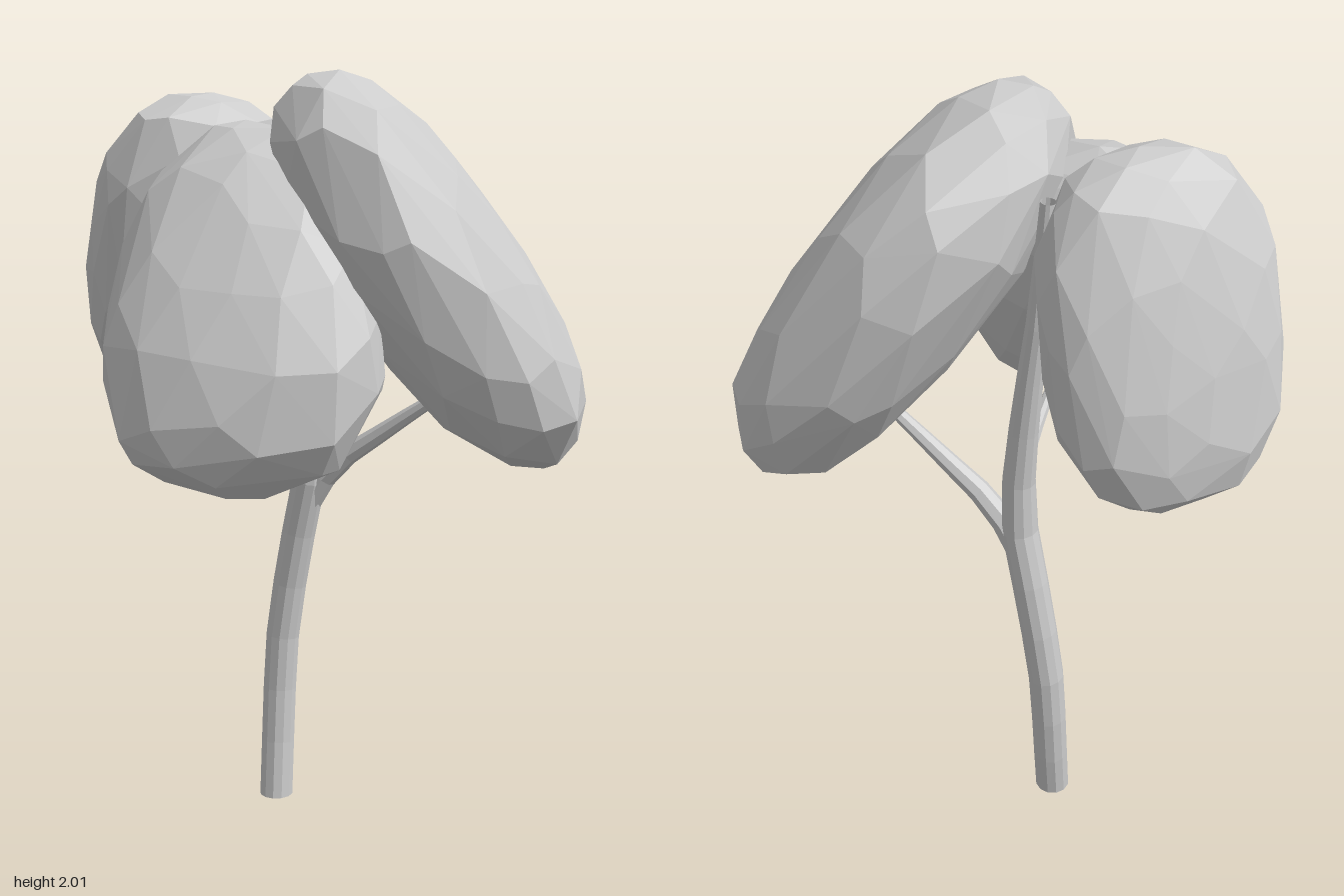
import * as THREE from 'three';
import { ConvexGeometry } from 'three/addons/geometries/ConvexGeometry.js';

const material = new THREE.MeshStandardMaterial({ color: 0xcccccc, flatShading: true, side: THREE.DoubleSide });

function seeded(seed) {
  return () => {
    seed = (seed * 16807) % 2147483647;
    return seed / 2147483647 - 0.5;
  };
}

// Faceted, flattened leaf mass: a jittered superellipsoid lying along a drooping axis
function foliage({ name, center, axis, side, half, power, taper, seed }) {
  const rand = seeded(seed);
  const y = new THREE.Vector3(...axis).normalize();
  const x = new THREE.Vector3(...side);
  x.addScaledVector(y, -x.dot(y)).normalize();
  const z = new THREE.Vector3().crossVectors(x, y);
  const frame = new THREE.Matrix4().makeBasis(x, y, z);
  const points = [];
  const count = 88;
  for (let i = 0; i < count; i++) {
    const h = 1 - (2 * (i + 0.5)) / count;
    const a = i * 2.39996 + rand() * 0.3;
    const r = Math.sqrt(1 - h * h);
    const p = new THREE.Vector3(r * Math.cos(a), r * Math.sin(a), h);
    const norm = Math.abs(p.x) ** power + Math.abs(p.y) ** power + Math.abs(p.z) ** power;
    p.multiplyScalar(1.015 / Math.pow(norm, 1 / power));
    p.x *= (1 + taper * p.y) * half[0];
    p.y *= half[1];
    p.z *= half[2];
    points.push(p.applyMatrix4(frame));
  }
  const mesh = new THREE.Mesh(new ConvexGeometry(points), material);
  mesh.name = name;
  mesh.position.set(...center);
  return mesh;
}

// Tapered limb swept along a curve
function limb(name, path, r0, r1, segments, sides, taperStart = 0) {
  const curve = new THREE.CatmullRomCurve3(path.map((p) => new THREE.Vector3(...p)));
  const geometry = new THREE.TubeGeometry(curve, segments, 1, sides);
  const pos = geometry.attributes.position;
  const uv = geometry.attributes.uv;
  const v = new THREE.Vector3();
  for (let i = 0; i < pos.count; i++) {
    const t = uv.getX(i);
    const c = curve.getPointAt(t);
    const s = Math.max(0, (t - taperStart) / (1 - taperStart));
    v.fromBufferAttribute(pos, i).sub(c).multiplyScalar(r0 + (r1 - r0) * s).add(c);
    if (t === 0 && path[0][1] === 0) v.y = 0;
    pos.setXYZ(i, v.x, v.y, v.z);
  }
  geometry.computeVertexNormals();
  const mesh = new THREE.Mesh(geometry, material);
  mesh.name = name;
  return mesh;
}

export function createModel() {
  const tree = new THREE.Group();
  tree.name = 'tree';

  // Trunk bends gently, then thins out between the leaf masses
  tree.add(limb('trunk', [
    [-0.175, 0, -0.195], [-0.172, 0.22, -0.222], [-0.162, 0.46, -0.234], [-0.122, 0.72, -0.225],
    [-0.075, 0.96, -0.2], [-0.09, 1.25, -0.205], [-0.125, 1.55, -0.22], [-0.145, 1.85, -0.22],
  ], 0.047, 0.018, 12, 12, 0.5));

  const base = new THREE.Mesh(new THREE.CircleGeometry(0.047, 12), material);
  base.name = 'trunkBase';
  base.rotation.x = Math.PI / 2;
  base.position.set(-0.175, 0, -0.195);
  tree.add(base);

  // Side branches reaching into each leaf mass
  tree.add(limb('rightBranch', [[-0.09, 0.85, -0.21], [-0.01, 0.965, -0.19], [0.13, 1.07, -0.16], [0.36, 1.23, -0.11]],
    0.038, 0.012, 6, 8));
  tree.add(limb('frontBranch', [[-0.08, 0.97, -0.2], [-0.07, 1.06, -0.15], [-0.1, 1.24, 0.05]],
    0.024, 0.012, 5, 8));
  tree.add(limb('backBranch', [[-0.11, 1.42, -0.21], [-0.17, 1.54, -0.2], [-0.32, 1.65, -0.19]],
    0.022, 0.01, 5, 8));

  // Three leaf masses leaning outwards from the tip
  tree.add(foliage({
    name: 'rightFoliage', center: [0.265, 1.505, -0.075], axis: [0.58, -0.81, -0.1], side: [0, 0, 1],
    half: [0.415, 0.575, 0.215], power: 2.5, taper: 0, seed: 11,
  }));
  tree.add(foliage({
    name: 'frontFoliage', center: [-0.165, 1.437, 0.19], axis: [0.07, -0.86, 0.5], side: [1, 0, 0],
    half: [0.33, 0.485, 0.205], power: 2.4, taper: 0.2, seed: 29,
  }));
  tree.add(foliage({
    name: 'backFoliage', center: [-0.4, 1.555, -0.19], axis: [-0.2, -0.95, -0.23], side: [0.8, 0, -0.6],
    half: [0.275, 0.41, 0.15], power: 2.7, taper: 0, seed: 47,
  }));
  return tree;
}
